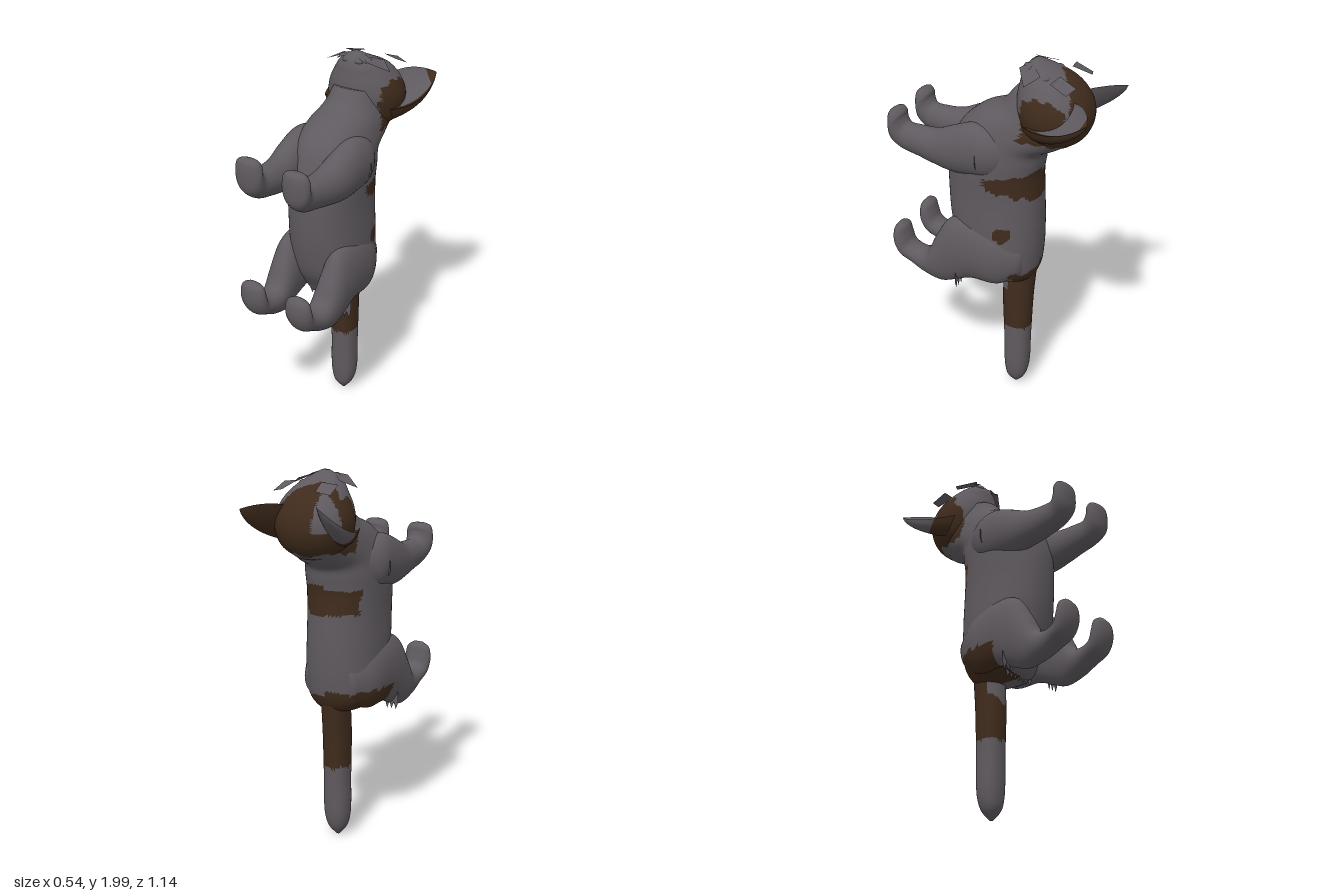
import * as THREE from 'three';

const fur = new THREE.MeshStandardMaterial({ color: 0x5f5a5f, side: THREE.DoubleSide });
fur.name = 'greyFur';
const patch = new THREE.MeshStandardMaterial({ color: 0x3f2b1c, side: THREE.DoubleSide });
patch.name = 'brownFur';

const wobble = (a, b) => 0.012 * Math.sin(a * 47) + 0.008 * Math.sin(b * 83 + 1);

// Where the coat is brown
function headPatch(x, y, z) {
  const w = wobble(x + y, z) * 0.7;
  if (y < 1.6 + w || z > -0.17 + w) return false;
  if (x < -0.09 && z < -0.36 && y > 1.72) return false;
  const face = y > 1.76 && Math.abs(x) < 0.165 + w && z > -0.31 - 0.6 * Math.max(0, x + 0.05) + w;
  return !face;
}
function bodyPatch(x, y, z) {
  const w = wobble(y, z) * 0.8;
  const shoulder = x > 0
    ? z < w && Math.abs(y - 1.335) < 0.07 - (z + 0.2) * 0.2 + w
    : z < -0.14 + w && Math.abs(y - 1.325) < 0.06 + w * 0.5;
  const spot = x > 0 && Math.hypot(z + 0.09, y - 1.055) < 0.045 + w * 0.5;
  const rump = x > 0 ? y < 0.81 + w && z < -0.12 + w : y < 0.84 + w && z < 0.1 + w;
  return shoulder || spot || rump || headPatch(x, y, z);
}
function tailPatch(x, y, z) {
  if (y < 0.41 + wobble(x * 2, z) * 0.6) return false;
  return !(z > -0.07 && y > 0.6 + Math.abs(x) * 0.9);
}

// Smooth closed loft; each section is [frontZ, frontY, backZ, backY, centreX, halfWidth]
function loft(name, sections, isBrown, power = 1, rings = 56, sides = 48) {
  const front = new THREE.CatmullRomCurve3(sections.map(s => new THREE.Vector3(s[4], s[1], s[0])));
  const back = new THREE.CatmullRomCurve3(sections.map(s => new THREE.Vector3(s[5], s[3], s[2])));
  const bend = v => Math.sign(v) * Math.abs(v) ** power;
  const pos = [], groups = [[], []];
  for (let i = -1; i <= rings + 1; i++) {
    const t = Math.min(Math.max(i / rings, 0), 1);
    const scale = i < 0 || i > rings ? 0.001 : 1;
    const a = front.getPoint(t), b = back.getPoint(t);
    for (let j = 0; j < sides; j++) {
      const ang = (j / sides) * Math.PI * 2;
      const c = bend(Math.cos(ang)) * scale, s = bend(Math.sin(ang)) * scale;
      pos.push(a.x + b.x * s,
        (a.y + b.y) / 2 + (a.y - b.y) / 2 * c,
        (a.z + b.z) / 2 + (a.z - b.z) / 2 * c);
    }
  }
  const tris = [];
  for (let i = 0; i < rings + 2; i++) for (let j = 0; j < sides; j++) {
    const k = (j + 1) % sides, p = i * sides, q = p + sides;
    tris.push([p + j, q + j, q + k], [p + j, q + k, p + k]);
  }
  // Signed volume decides the corner order
  const at = n => new THREE.Vector3().fromArray(pos, n * 3);
  let volume = 0;
  for (const [a, b, c] of tris) volume += at(a).dot(at(b).cross(at(c)));
  for (const [a, b, c] of tris) {
    const m = at(a).add(at(b)).add(at(c)).divideScalar(3);
    groups[isBrown(m.x, m.y, m.z) ? 1 : 0].push(...(volume > 0 ? [a, b, c] : [a, c, b]));
  }
  const geo = new THREE.BufferGeometry();
  geo.setAttribute('position', new THREE.Float32BufferAttribute(pos, 3));
  return twoTone(name, geo, groups);
}

// Mesh with grey triangles first, then brown ones
function twoTone(name, geo, [grey, brown]) {
  geo.setIndex([...grey, ...brown]);
  geo.clearGroups();
  geo.addGroup(0, grey.length, 0);
  geo.addGroup(grey.length, brown.length, 1);
  geo.computeVertexNormals();
  return named(name, geo, [fur, patch]);
}

function named(name, geo, material) {
  const mesh = new THREE.Mesh(geo, material);
  mesh.name = name;
  return mesh;
}

// Ear sheet between two curved edges, sagging behind by depth; u runs to the tip, v outward
function earSheet(name, side, depth, isBrown) {
  const vec = (x, y, z) => new THREE.Vector3(x * side, y, z);
  const inner = new THREE.QuadraticBezierCurve3(vec(0.075, 1.83, -0.39), vec(0.13, 1.87, -0.52), vec(0.25, 1.825, -0.567));
  const outer = new THREE.QuadraticBezierCurve3(vec(0.198, 1.72, -0.2), vec(0.305, 1.7, -0.4), vec(0.258, 1.82, -0.567));
  const n = 20, geo = new THREE.PlaneGeometry(1, 1, n, n), p = geo.attributes.position;
  const groups = [[], []];
  for (let i = 0; i <= n; i++) for (let j = 0; j <= n; j++) {
    const u = i / n, v = j / n, at = i * (n + 1) + j;
    const q = inner.getPoint(u).lerp(outer.getPoint(u), v);
    const sag = depth * Math.sin(Math.PI * v) ** 0.7 * (1 - u) ** 0.7;
    p.setXYZ(at, q.x + sag * 0.15 * side, q.y - sag, q.z - sag * 0.2);
    if (i < n && j < n) {
      const a = at, b = at + 1, c = at + n + 1, d = c + 1;
      groups[isBrown(u, v) ? 1 : 0].push(a, c, b, c, d, b);
    }
  }
  return twoTone(name, geo, groups);
}

// Flat four-cornered fur card
function card(name, corners, side) {
  const geo = new THREE.BufferGeometry();
  geo.setAttribute('position', new THREE.Float32BufferAttribute(corners.flatMap(([x, y, z]) => [x * side, y, z]), 3));
  geo.setIndex(side > 0 ? [0, 1, 2, 0, 2, 3] : [0, 2, 1, 0, 3, 2]);
  geo.computeVertexNormals();
  return named(name, geo, fur);
}

// Jagged fringe hanging down
function fringe(name, width, height, teeth, x, y, z) {
  const s = new THREE.Shape();
  s.moveTo(-width / 2, height);
  for (let i = 0; i <= teeth * 2; i++) s.lineTo(-width / 2 + width * i / (teeth * 2), i % 2 ? 0 : height * 0.4);
  s.lineTo(width / 2, height);
  const mesh = named(name, new THREE.ShapeGeometry(s), fur);
  mesh.position.set(x, y, z);
  return mesh;
}

function ball(name, r, x, y, z, sy) {
  const mesh = named(name, new THREE.SphereGeometry(r, 20, 14), fur);
  mesh.position.set(x, y, z);
  mesh.scale.y = sy;
  return mesh;
}

export function createModel() {
  const model = new THREE.Group();
  model.name = 'cat';

  // Torso with neck, standing on its rump
  model.add(loft('torso', [
    [0.08, 0.715, -0.1, 0.715, 0, 0.05], [0.13, 0.735, -0.18, 0.74, 0, 0.12],
    [0.17, 0.8, -0.215, 0.8, 0, 0.175], [0.23, 0.9, -0.23, 0.9, 0, 0.195],
    [0.265, 1.05, -0.235, 1.05, 0, 0.198], [0.28, 1.25, -0.23, 1.25, 0, 0.195],
    [0.275, 1.4, -0.225, 1.37, 0, 0.2], [0.25, 1.5, -0.235, 1.44, 0, 0.2],
    [0.2, 1.61, -0.25, 1.5, 0, 0.19], [0.1, 1.7, -0.34, 1.55, 0, 0.172],
    [-0.02, 1.755, -0.415, 1.61, 0, 0.155], [-0.085, 1.83, -0.39, 1.75, 0, 0.12],
  ], bodyPatch, 0.88, 88, 64));

  // Head, face turned upward
  model.add(loft('head', [
    [-0.185, 1.992, -0.215, 1.992, 0, 0.02], [-0.15, 1.965, -0.255, 1.97, 0, 0.065],
    [-0.13, 1.93, -0.31, 1.945, 0, 0.105], [-0.12, 1.885, -0.4, 1.9, 0, 0.145],
    [-0.11, 1.83, -0.455, 1.84, 0, 0.18], [-0.11, 1.77, -0.485, 1.77, 0, 0.2],
    [-0.12, 1.71, -0.485, 1.7, 0, 0.196], [-0.14, 1.65, -0.455, 1.63, 0, 0.17],
    [-0.2, 1.59, -0.39, 1.575, 0, 0.1],
  ], headPatch, 0.96, 64, 64));

  // Tail
  model.add(loft('tail', [
    [-0.03, 0.8, -0.205, 0.8, 0, 0.068], [-0.02, 0.6, -0.187, 0.6, 0, 0.07],
    [-0.028, 0.35, -0.175, 0.35, 0, 0.069], [-0.035, 0.12, -0.165, 0.12, 0, 0.067],
    [-0.048, 0.05, -0.145, 0.05, 0, 0.048], [-0.085, 0.0, -0.105, 0.0, 0, 0.01],
  ], tailPatch, 0.85, 60, 32));

  for (const side of [1, -1]) {
    const label = side > 0 ? 'left' : 'right';
    const mirror = sections => sections.map(s => s.map((v, i) => (i === 4 ? v * side : v)));

    // Legs reaching forward
    model.add(loft(label + 'Foreleg', mirror([
      [-0.13, 1.58, -0.12, 1.44, 0.125, 0.04], [0, 1.64, -0.02, 1.38, 0.145, 0.083], [0.09, 1.65, 0.08, 1.365, 0.147, 0.088],
      [0.2, 1.61, 0.2, 1.36, 0.145, 0.087], [0.3, 1.568, 0.3, 1.375, 0.137, 0.08],
      [0.4, 1.56, 0.4, 1.395, 0.132, 0.071], [0.468, 1.565, 0.495, 1.42, 0.134, 0.068],
      [0.485, 1.595, 0.553, 1.47, 0.138, 0.076], [0.487, 1.62, 0.567, 1.55, 0.138, 0.077],
      [0.505, 1.637, 0.56, 1.62, 0.138, 0.06], [0.52, 1.642, 0.54, 1.64, 0.138, 0.025],
    ]), () => false));
    model.add(loft(label + 'HindLeg', mirror([
      [-0.19, 0.97, -0.18, 0.82, 0.11, 0.04], [-0.06, 1.06, -0.06, 0.74, 0.138, 0.078],
      [0.1, 1.1, 0.1, 0.735, 0.147, 0.083], [0.22, 1.075, 0.2, 0.695, 0.152, 0.077],
      [0.3, 0.96, 0.28, 0.67, 0.15, 0.076], [0.36, 0.85, 0.38, 0.695, 0.145, 0.07],
      [0.42, 0.835, 0.46, 0.735, 0.14, 0.068], [0.47, 0.855, 0.53, 0.775, 0.14, 0.073],
      [0.487, 0.9, 0.567, 0.85, 0.14, 0.077], [0.5, 0.945, 0.565, 0.93, 0.14, 0.063],
      [0.525, 0.967, 0.545, 0.96, 0.14, 0.025],
    ]), bodyPatch));

    // Ears: back, and cupped inside with a brown rim on the left one
    model.add(earSheet(label + 'EarBack', side, 0.13, (u, v) => side > 0 || (u < 0.3 && v > 0.4)));
    model.add(earSheet(label + 'EarInside', side, 0.05, (u, v) => (side > 0 ? v > 0.82 || u > 0.75 || u < 0.12 : u < 0.3 && v > 0.6)));

    // Face
    model.add(ball(label + 'Eye', 0.031, 0.078 * side, 1.925, -0.27, 0.7));
    model.add(ball(label + 'Muzzle', 0.036, 0.03 * side, 1.952, -0.178, 0.7));
    model.add(card(label + 'Whiskers', [[0.19, 1.915, -0.21], [0.12, 1.95, -0.265], [0.04, 1.98, -0.185], [0.09, 1.965, -0.14]], side));
    model.add(card(label + 'ChinWhiskers', [[0.095, 1.965, -0.195], [0.045, 1.982, -0.2], [0.04, 1.975, -0.15], [0.085, 1.955, -0.145]], side));
    model.add(card(label + 'Brow', [[0.165, 1.9, -0.415], [0.095, 1.915, -0.44], [0.07, 1.95, -0.345], [0.155, 1.94, -0.33]], side));

    // Loose fur at the joints
    model.add(fringe(label + 'ElbowTuft', 0.07, 0.08, 3, 0.205 * side, 1.44, 0.03));
    model.add(fringe(label + 'HockTuft', 0.08, 0.1, 3, 0.175 * side, 0.675, 0.17));
  }

  // Belly fur
  model.add(fringe('bellyFur', 0.2, 0.08, 7, 0, 0.695, 0.09));
  return model;
}
